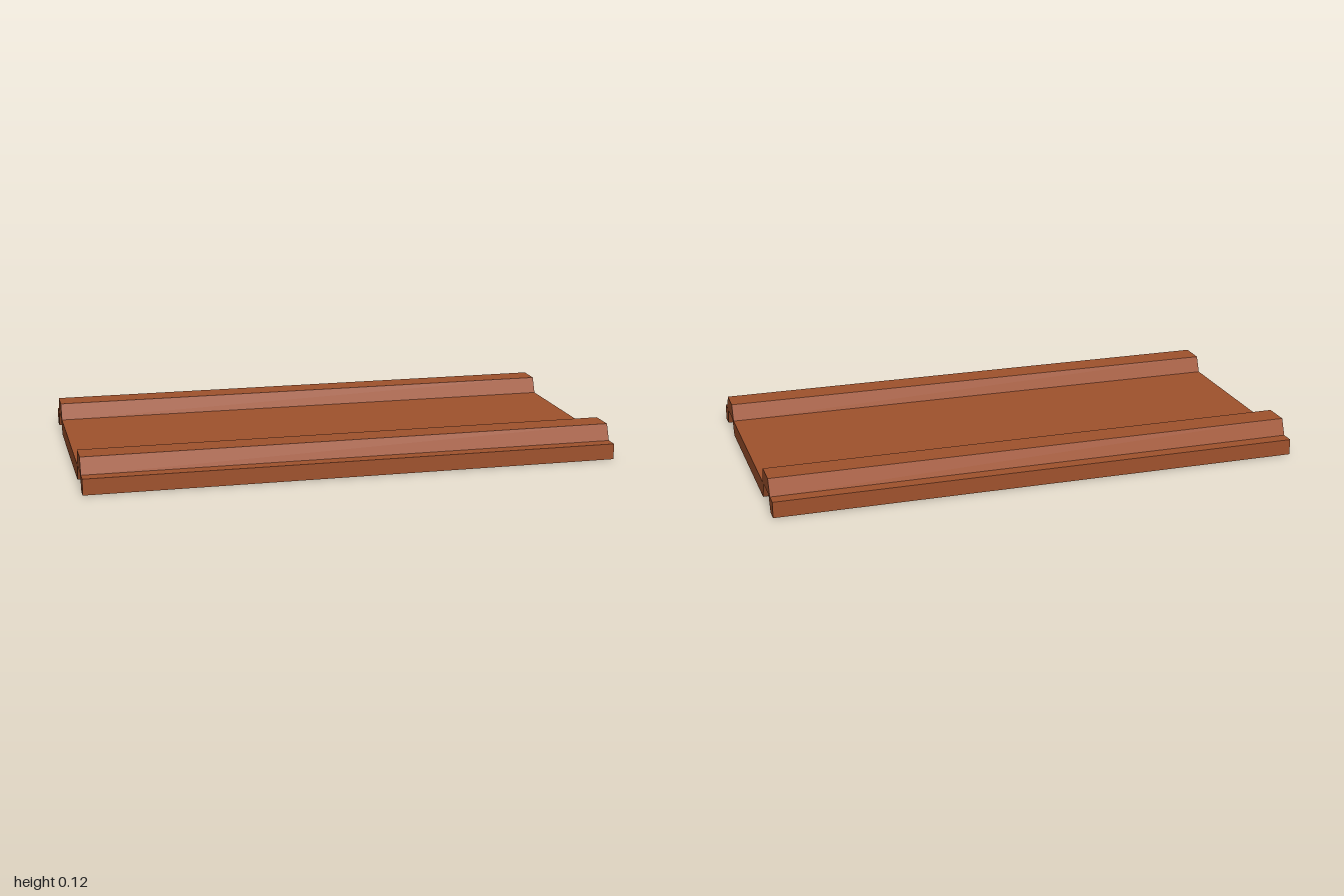
import * as THREE from 'three';

const LENGTH = 2;
const THICKNESS = 0.06;

// Upper half-profile of the ribbed sheet, from centre to edge: [z, height above the base line]
const HALF = [[0.325, 0], [0.35, 0.06], [0.45, 0.06], [0.475, 0], [0.525, 0]];

export function createModel() {
  const group = new THREE.Group();
  group.name = 'ribbedPanel';

  const rust = new THREE.MeshStandardMaterial({ color: 0xa0522d });
  rust.name = 'rustBrown';

  // Mirror the half-profile, then offset it upwards to give the sheet its thickness
  const line = [...HALF.map(([z, y]) => [-z, y]).reverse(), ...HALF];
  const outline = [
    ...line.map(([z, y]) => new THREE.Vector2(z, y)),
    ...line.map(([z, y]) => new THREE.Vector2(z, y + THICKNESS)).reverse(),
  ];

  // Sweep the cross-section along x
  const geometry = new THREE.ExtrudeGeometry(new THREE.Shape(outline), {
    depth: LENGTH,
    bevelEnabled: false,
  });
  geometry.translate(0, 0, -LENGTH / 2);
  geometry.rotateY(Math.PI / 2);

  const sheet = new THREE.Mesh(geometry, rust);
  sheet.name = 'ribbedSheet';
  group.add(sheet);
  return group;
}
